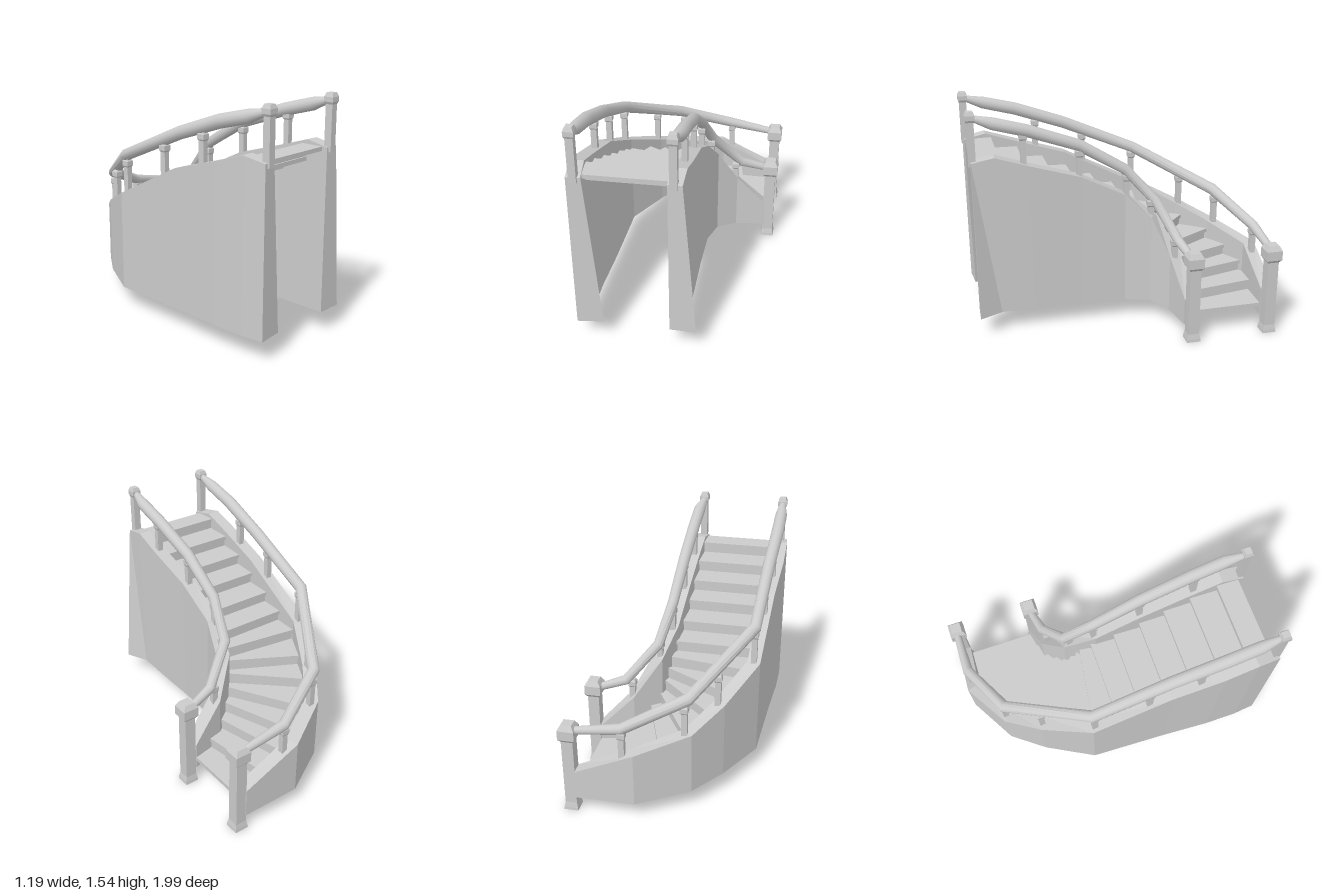
import * as THREE from 'three';
import { toCreasedNormals } from 'three/addons/utils/BufferGeometryUtils.js';

const V = (x, y, z) => new THREE.Vector3(x, y, z);
const material = new THREE.MeshStandardMaterial({ color: 0xcccccc, flatShading: true });
const smooth = new THREE.MeshStandardMaterial({ color: 0xcccccc });

// Skin a list of equal-length rings and close both ends
function loft(rings) {
  const n = rings[0].length, pos = [], index = [];
  rings.forEach(r => r.forEach(p => pos.push(p.x, p.y, p.z)));
  for (let i = 0; i < rings.length - 1; i++) {
    for (let j = 0; j < n; j++) {
      const a = i * n + j, b = i * n + (j + 1) % n;
      index.push(a, b, b + n, a, b + n, a + n);
    }
  }
  const last = (rings.length - 1) * n;
  for (let j = 1; j < n - 1; j++) index.push(0, j + 1, j, last, last + j, last + j + 1);
  const g = new THREE.BufferGeometry();
  g.setAttribute('position', new THREE.Float32BufferAttribute(pos, 3));
  g.setIndex(index);
  g.computeVertexNormals();
  return g;
}

// Mitred frame at point i of a path: sideways unit vector and tangent
function frame(path, i) {
  const a = path[Math.max(i - 1, 0)], b = path[i], c = path[Math.min(i + 1, path.length - 1)];
  const t = b.clone().sub(a).normalize().add(c.clone().sub(b).normalize()).normalize();
  return { t, side: V(t.z, 0, -t.x).normalize() };
}

// Stringer wall; points are [x, z, top, bottom], the upper end flares at its foot
function wall(points) {
  const h = 0.045;
  const path = points.map(([x, z]) => V(x, 0, z));
  return loft(points.map(([x, z, top, bottom], i) => {
    const { side } = frame(path, i);
    const flare = i === points.length - 1 ? 0.08 : 0;
    const at = (d, y) => V(x, y, z).addScaledVector(side, d);
    return [at(h, top), at(-h, top), at(-h, bottom), at(h + flare, bottom)];
  }));
}

// Round handrail; points are [x, y, z, radius]
function rail(points) {
  const n = 12;
  const path = points.map(([x, y, z]) => V(x, y, z));
  const g = loft(points.map((p, i) => {
    const { t, side } = frame(path, i);
    const up = t.clone().cross(side);
    return Array.from({ length: n }, (_, j) => {
      const a = j / n * Math.PI * 2;
      return path[i].clone().addScaledVector(side, p[3] * Math.cos(a)).addScaledVector(up, p[3] * Math.sin(a));
    });
  }));
  return toCreasedNormals(g, 0.7);
}

// Square post from a profile of [half width, y]
function post(profile) {
  const pts = profile.map(([w, y]) => new THREE.Vector2(w * Math.SQRT2, y));
  return new THREE.LatheGeometry(pts, 4, Math.PI / 4);
}

// Slab between two lines across the stairs, each line being [outer, inner] in plan
function slab(a, b, top, bottom) {
  return loft([a, b].map(([o, i]) => [
    V(i.x, top, i.y), V(o.x, top, o.y), V(o.x, bottom, o.y), V(i.x, bottom, i.y)]));
}

export function createModel() {
  const group = new THREE.Group();
  const add = (name, geometry, x = 0, y = 0, z = 0, mat = material) => {
    const mesh = new THREE.Mesh(geometry, mat);
    mesh.name = name;
    mesh.position.set(x, y, z);
    group.add(mesh);
  };

  // Side walls, from the foot of the stairs upward
  add('outerWall', wall([
    [0.51, -0.945, 0.30, 0.105], [0.13, -0.955, 0.485, 0.12], [-0.18, -0.78, 0.56, 0.135],
    [-0.34, -0.57, 0.665, 0.14], [-0.51, -0.26, 0.81, 0.14], [-0.53, 0.26, 1.07, 0.14],
    [-0.55, 0.6, 1.17, 0.14], [-0.55, 0.82, 1.24, 0.14], [-0.535, 0.97, 1.21, 0.14]]));
  add('innerWall', wall([
    [0.51, -0.395, 0.29, 0.105], [0.29, -0.35, 0.52, 0.12], [0.14, -0.24, 0.76, 0.135],
    [0.08, -0.05, 0.92, 0.14], [0.07, 0.26, 1.07, 0.14], [0.07, 0.6, 1.17, 0.14],
    [0.065, 0.82, 1.24, 0.14], [0.06, 0.97, 1.21, 0.14]]));

  // Handrails
  add('outerRail', rail([
    [0.52, 0.59, -0.95, 0.025], [0.2, 0.645, -0.95, 0.036], [-0.18, 0.80, -0.78, 0.04],
    [-0.51, 1.065, -0.26, 0.04], [-0.525, 1.285, 0.26, 0.042], [-0.54, 1.40, 0.6, 0.044],
    [-0.54, 1.455, 0.82, 0.042], [-0.535, 1.495, 0.95, 0.02]]), 0, 0, 0, smooth);
  add('innerRail', rail([
    [0.52, 0.575, -0.4, 0.025], [0.33, 0.635, -0.36, 0.034], [0.13, 0.87, -0.25, 0.036],
    [0.075, 1.09, -0.05, 0.036], [0.065, 1.275, 0.26, 0.04], [0.065, 1.395, 0.6, 0.042],
    [0.065, 1.455, 0.82, 0.042], [0.05, 1.495, 0.95, 0.02]]), 0, 0, 0, smooth);

  // Newel posts
  const lower = [[0, 0], [0.047, 0], [0.045, 0.02], [0.038, 0.055], [0.038, 0.52], [0.054, 0.54],
    [0.054, 0.605], [0.035, 0.64], [0, 0.64]];
  const upper = [[0, 1.18], [0.024, 1.18], [0.024, 1.47], [0.032, 1.485], [0.032, 1.515], [0.022, 1.54], [0, 1.54]];
  for (const z of [-0.945, -0.4]) add('lowerNewel', post(lower), 0.543, 0, z);
  for (const x of [-0.535, 0.053]) add('upperNewel', post(upper), x, 0, 0.96);

  // Balusters: x, z, foot, top
  const balusters = [
    [0.2, -0.95, 0.40, 0.63], [-0.16, -0.79, 0.50, 0.76], [-0.33, -0.57, 0.62, 0.88],
    [-0.51, -0.25, 0.78, 1.04], [-0.525, 0.12, 0.95, 1.2], [-0.535, 0.46, 1.08, 1.32],
    [0.29, -0.345, 0.48, 0.64], [0.125, -0.22, 0.74, 0.88], [0.075, -0.06, 0.87, 1.06],
    [0.065, 0.26, 1.02, 1.25], [0.065, 0.63, 1.13, 1.39]];
  for (const [x, z, foot, top] of balusters) {
    const h = top - foot;
    add('baluster', post([[0, 0], [0.019, 0], [0.019, h - 0.055], [0.025, h - 0.045],
      [0.025, h - 0.015], [0.016, h], [0, h]]), x, foot, z);
  }

  // Nosing lines from bottom to top: outer x, z, inner x, z
  const lines = [
    [0.5, -0.93, 0.5, -0.42], [0.29, -0.92, 0.37, -0.39], [0.12, -0.91, 0.25, -0.35],
    [-0.01, -0.84, 0.18, -0.30], [-0.15, -0.74, 0.13, -0.25], [-0.28, -0.58, 0.10, -0.22],
    [-0.37, -0.44, 0.08, -0.19], [-0.48, -0.25, 0.06, -0.17], [-0.5, -0.09, 0.05, -0.09],
    [-0.5, 0.07, 0.05, 0.07], [-0.51, 0.25, 0.05, 0.25], [-0.51, 0.42, 0.05, 0.42],
    [-0.51, 0.6, 0.05, 0.6], [-0.51, 0.78, 0.05, 0.78], [-0.51, 0.93, 0.05, 0.93]
  ].map(([a, b, c, d]) => [new THREE.Vector2(a, b), new THREE.Vector2(c, d)]);
  const between = (i, f) => lines[i].map((p, k) => p.clone().lerp(lines[i + 1][k], f));
  const rise = 0.0785, thick = 0.027;
  for (let i = 0; i < lines.length - 1; i++) {
    const y = 0.19 + i * rise;
    add('tread', slab(lines[i], between(i, i < 13 ? 1.2 : 1), y, y - thick));
    if (i > 0) add('riser', slab(between(i, 0.08), between(i, 0.18), y - thick, y - rise));
  }
  return group;
}
